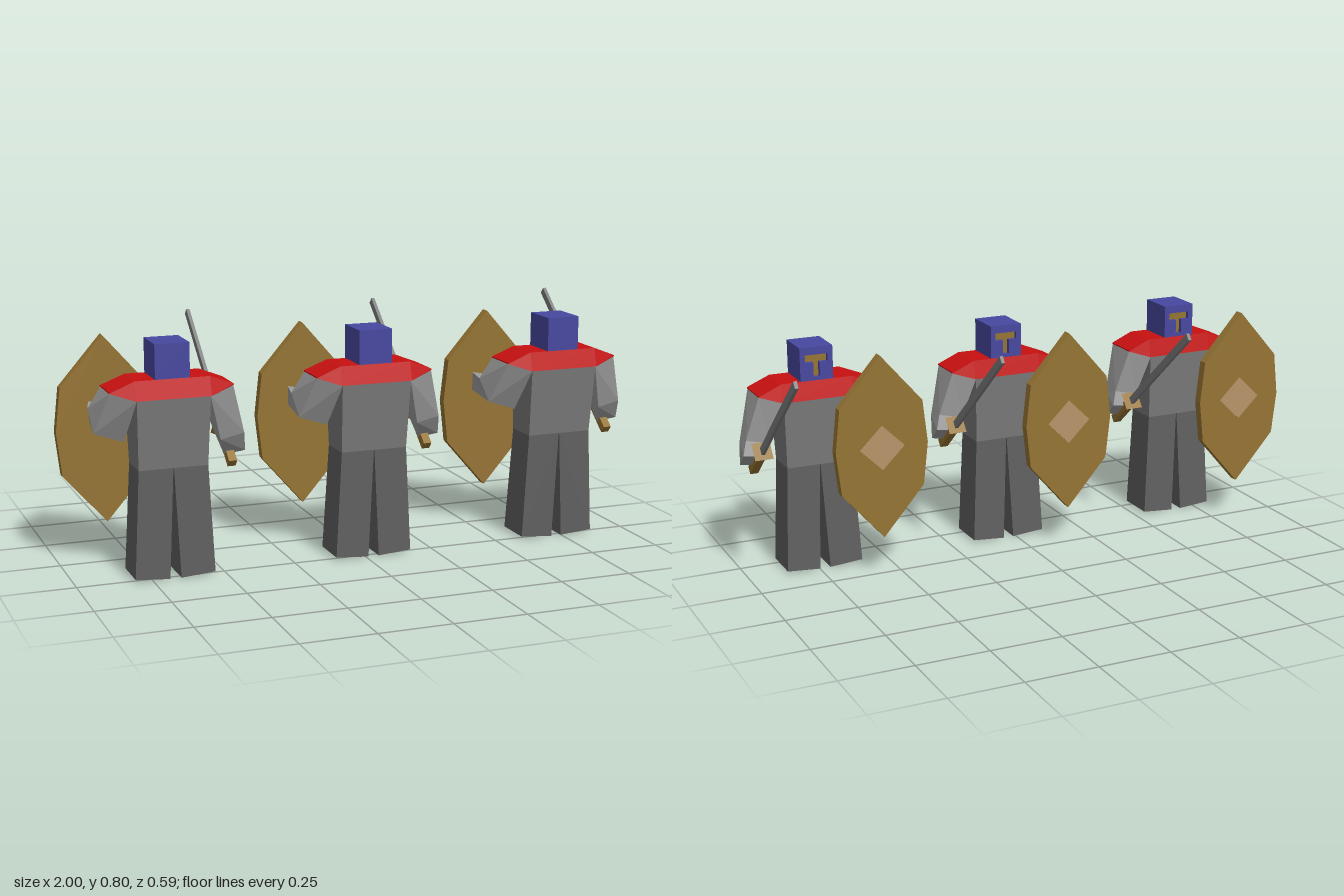
import * as THREE from 'three';

const mat = (color) => new THREE.MeshStandardMaterial({ color, flatShading: true });
const MATS = {
  leg: mat(0x606060), torso: mat(0x7a7a7a), arm: mat(0x9c9c9c), red: mat(0xc81010),
  blue: mat(0x4848a0), brown: mat(0x967434), tan: mat(0xb8966a), steel: mat(0x808080),
};

function add(parent, name, geometry, material, x = 0, y = 0, z = 0) {
  const mesh = new THREE.Mesh(geometry, material);
  mesh.name = name;
  mesh.position.set(x, y, z);
  parent.add(mesh);
  return mesh;
}

// Closed solid through four-cornered sections, turned outward by its signed volume
function loft(sections) {
  const tris = [];
  const quad = (a, b, c, d) => tris.push([a, b, c], [a, c, d]);
  for (let i = 0; i < sections.length - 1; i++) {
    const s = sections[i], t = sections[i + 1];
    for (let j = 0; j < 4; j++) {
      const k = (j + 1) % 4;
      quad(s[j], s[k], t[k], t[j]);
    }
  }
  const first = sections[0], last = sections[sections.length - 1];
  quad(first[3], first[2], first[1], first[0]);
  quad(last[0], last[1], last[2], last[3]);
  let volume = 0;
  const v = tris.map((t) => t.map((p) => new THREE.Vector3(...p)));
  v.forEach(([a, b, c]) => { volume += a.dot(b.clone().cross(c)); });
  if (volume < 0) v.forEach((t) => t.reverse());
  const g = new THREE.BufferGeometry().setFromPoints(v.flat());
  g.computeVertexNormals();
  return g;
}

// Horizontal rectangle as a section
const rect = (x0, x1, y0, y1, z0, z1) => [[x0, y0, z0], [x1, y1, z0], [x1, y1, z1], [x0, y0, z1]];

function polygon(points) {
  return new THREE.Shape(points.map(([x, y]) => new THREE.Vector2(x, y)));
}

const extrude = (shape, depth) =>
  new THREE.ExtrudeGeometry(shape, { depth, bevelEnabled: false });

// Shoulder section: outer top edge and inner lower edge
const shoulder = (s) => [
  [s * 0.205, 0.638, 0.272], [s * 0.205, 0.638, 0.146],
  [s * 0.122, 0.61, 0.132], [s * 0.122, 0.61, 0.294],
];

function createHelmet() {
  const helmet = new THREE.Group();
  helmet.name = 'helmet';
  add(helmet, 'helmetBody', new THREE.BoxGeometry(0.116, 0.116, 0.115), MATS.blue, 0, 0.731, 0.2225);
  // Front plate with a T-shaped opening and the face set behind it
  const plate = polygon([[-0.058, 0.673], [0.058, 0.673], [0.058, 0.789], [-0.058, 0.789]]);
  plate.holes.push(polygon([
    [-0.011, 0.685], [-0.011, 0.735], [-0.04, 0.735], [-0.04, 0.762],
    [0.04, 0.762], [0.04, 0.735], [0.011, 0.735], [0.011, 0.685],
  ]));
  add(helmet, 'visor', extrude(plate, 0.02), MATS.blue, 0, 0, 0.145);
  add(helmet, 'face', new THREE.BoxGeometry(0.09, 0.09, 0.006), MATS.brown, 0, 0.725, 0.164);
  return helmet;
}

function createSword() {
  const sword = new THREE.Group();
  sword.name = 'sword';
  add(sword, 'handle', new THREE.BoxGeometry(0.028, 0.15, 0.029), MATS.brown, 0, 0.075, 0);
  const guard = new THREE.CylinderGeometry(0.045, 0.024, 0.024, 4).rotateY(Math.PI / 4);
  add(sword, 'guard', guard, MATS.brown, 0, 0.145, 0);
  add(sword, 'blade', new THREE.BoxGeometry(0.012, 0.52, 0.026), MATS.steel, 0, 0.41, 0);
  sword.position.set(0.213, 0.361, 0.225);
  sword.rotation.x = THREE.MathUtils.degToRad(-50);
  return sword;
}

function createShield() {
  const shield = new THREE.Group();
  shield.name = 'shield';
  const board = polygon([
    [0, -0.32], [0.148, -0.15], [0.165, 0], [0.148, 0.15],
    [0, 0.32], [-0.148, 0.15], [-0.165, 0], [-0.148, -0.15],
  ]);
  add(shield, 'shieldBoard', extrude(board, 0.034), MATS.brown);
  const diamond = polygon([[0, -0.078], [0.08, 0], [0, 0.078], [-0.08, 0]]);
  add(shield, 'shieldDiamond', extrude(diamond, 0.004), MATS.tan, 0, 0, -0.002);
  shield.position.set(-0.163, 0.46, -0.027);
  return shield;
}

function createSoldier() {
  const soldier = new THREE.Group();
  soldier.name = 'soldier';
  // Legs
  for (const s of [-1, 1]) {
    add(soldier, s > 0 ? 'leftLeg' : 'rightLeg', loft([
      rect(s * 0.019, s * 0.136, 0, 0.009, 0.13, 0.27),
      rect(s * 0.001, s * 0.117, 0.375, 0.375, 0.145, 0.27),
    ]), MATS.leg);
  }
  // Torso and pointed shoulder mantle
  add(soldier, 'torso', loft([
    rect(-0.117, 0.117, 0.375, 0.375, 0.145, 0.27),
    rect(-0.123, 0.123, 0.612, 0.612, 0.131, 0.295),
  ]), MATS.torso);
  const mantle = (x, low, high, z0, z1, t0, t1) =>
    [[x, low, z0], [x, low, z1], [x, high, t1], [x, high, t0]];
  add(soldier, 'mantle', loft([
    mantle(-0.207, 0.637, 0.641, 0.145, 0.273, 0.145, 0.273),
    mantle(-0.125, 0.61, 0.673, 0.13, 0.297, 0.145, 0.28),
    mantle(0.125, 0.61, 0.673, 0.13, 0.297, 0.145, 0.28),
    mantle(0.207, 0.637, 0.641, 0.145, 0.273, 0.145, 0.273),
  ]), MATS.red);
  // Sword arm: shoulder, elbow, wrist
  add(soldier, 'swordArm', loft([
    shoulder(1),
    [[0.252, 0.466, 0.237], [0.252, 0.488, 0.16], [0.168, 0.47, 0.155], [0.168, 0.45, 0.245]],
    [[0.268, 0.395, 0.193], [0.268, 0.44, 0.144], [0.195, 0.43, 0.14], [0.195, 0.385, 0.19]],
  ]), MATS.arm);
  // Shield arm: shoulder, elbow, end at the shield
  add(soldier, 'shieldArm', loft([
    shoulder(-1),
    [[-0.247, 0.495, 0.21], [-0.247, 0.563, 0.13], [-0.135, 0.538, 0.13], [-0.15, 0.462, 0.215]],
    [[-0.215, 0.495, 0], [-0.215, 0.56, 0], [-0.1, 0.537, 0], [-0.11, 0.463, 0]],
  ]), MATS.arm);
  soldier.add(createHelmet(), createSword(), createShield());
  return soldier;
}

export function createModel() {
  const model = new THREE.Group();
  model.name = 'soldierRow';
  // Three soldiers in a line
  for (let i = -1; i <= 1; i++) {
    const soldier = createSoldier();
    soldier.position.x = 0.029 + i * 0.701;
    model.add(soldier);
  }
  return model;
}
